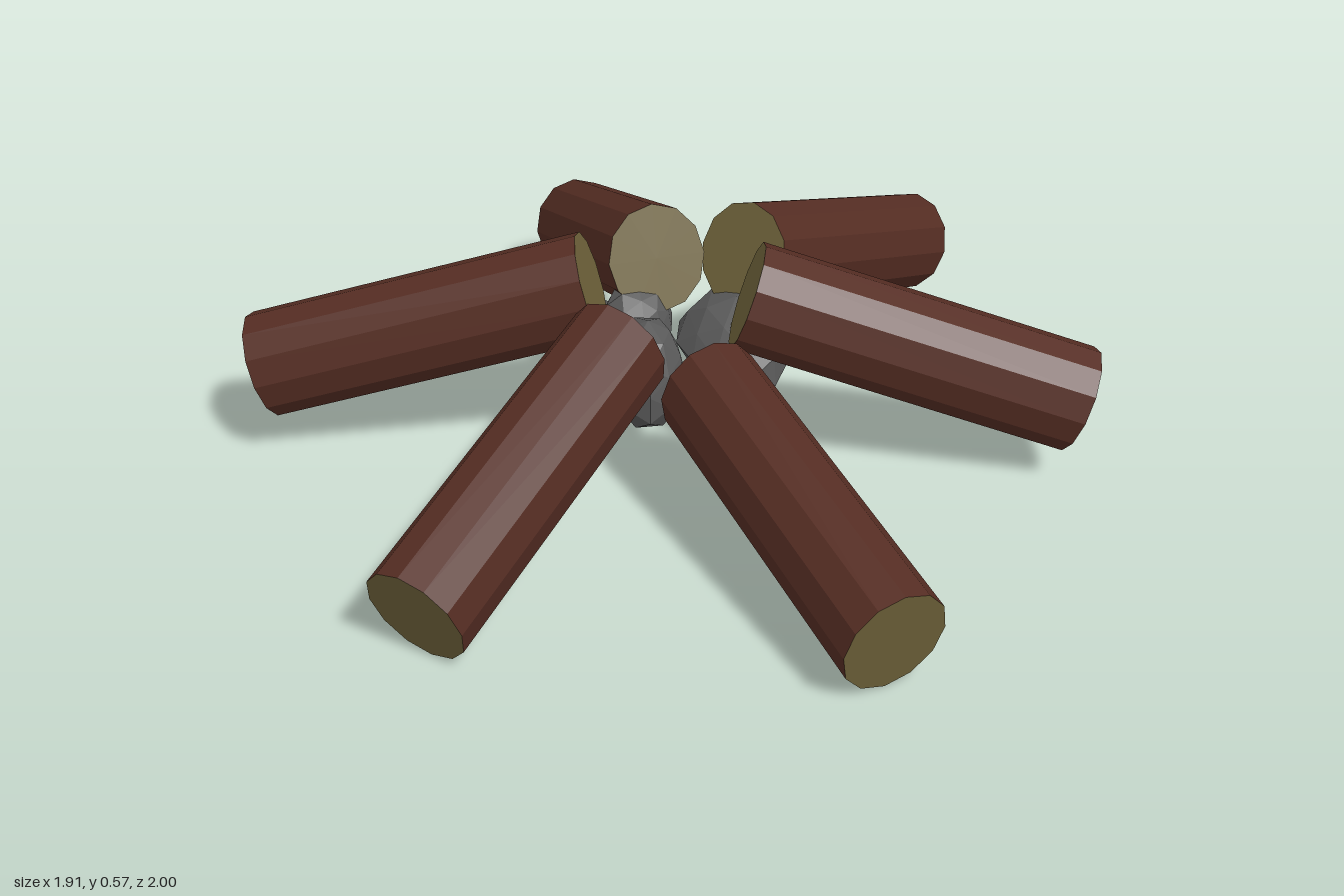
import * as THREE from 'three';

const material = (name, color) => {
  const m = new THREE.MeshStandardMaterial({ color, flatShading: true });
  m.name = name;
  return m;
};

export function createModel() {
  const group = new THREE.Group();
  group.name = 'campfire';
  const bark = material('bark', 0x552d23);
  const cutWood = material('cut wood', 0x6e623a);
  const stone = material('stone', 0x5a5a5a);

  // Logs: slightly oval cylinders leaning from the outer end up to the centre
  function addLog(name, outer, inner) {
    const a = new THREE.Vector3(...outer);
    const b = new THREE.Vector3(...inner);
    const axis = b.clone().sub(a);
    const length = axis.length();
    axis.normalize();
    const side = new THREE.Vector3(0, 1, 0).cross(axis).normalize();
    const up = new THREE.Vector3().crossVectors(axis, side);
    const geo = new THREE.CylinderGeometry(1, 1, length, 12);
    geo.scale(0.13, 1, 0.118);
    geo.applyMatrix4(new THREE.Matrix4().makeBasis(up, axis, side));
    const log = new THREE.Mesh(geo, [bark, cutWood, cutWood]);
    log.position.copy(a).add(b).multiplyScalar(0.5);
    log.name = name;
    group.add(log);
  }
  addLog('backLog', [0.02, 0.185, -0.957], [0.02, 0.45, -0.19]);
  addLog('backLeftLog', [0.85, 0.19, -0.6], [0.22, 0.45, -0.145]);
  addLog('frontLeftLog', [0.9, 0.193, 0.305], [0.164, 0.45, 0.05]);
  addLog('frontLog', [0.165, 0.136, 0.97], [0.03, 0.3, 0.18]);
  addLog('frontRightLog', [-0.725, 0.13, 0.605], [-0.153, 0.395, 0.1]);
  addLog('backRightLog', [-0.903, 0.223, -0.36], [-0.164, 0.45, -0.1]);

  // Stones: stretched spheres with each corner pushed in or out by a fixed rule
  function addStone(name, position, size, turn, seed) {
    const geo = new THREE.IcosahedronGeometry(1, 1);
    const p = geo.attributes.position;
    const v = new THREE.Vector3();
    for (let i = 0; i < p.count; i++) {
      v.fromBufferAttribute(p, i);
      const n = Math.sin(v.x * 3.1 + seed) + Math.sin(v.y * 4.3 + seed * 2) + Math.sin(v.z * 3.7 + seed * 3);
      v.multiplyScalar(0.98 + 0.05 * n);
      p.setXYZ(i, v.x, v.y, v.z);
    }
    geo.scale(...size);
    geo.computeVertexNormals();
    const mesh = new THREE.Mesh(geo, stone);
    mesh.position.set(...position);
    mesh.rotation.y = turn;
    mesh.name = name;
    group.add(mesh);
  }
  addStone('largeStone', [0.19, 0.25, -0.1], [0.145, 0.115, 0.2], -0.2, 1);
  addStone('middleStone', [-0.055, 0.255, -0.01], [0.095, 0.125, 0.135], -0.25, 2);
  addStone('longStone', [-0.15, 0.25, -0.23], [0.11, 0.09, 0.165], 0.2, 3.4);
  addStone('smallStone', [-0.03, 0.3, -0.19], [0.09, 0.09, 0.09], 0.5, 5);

  return group;
}
